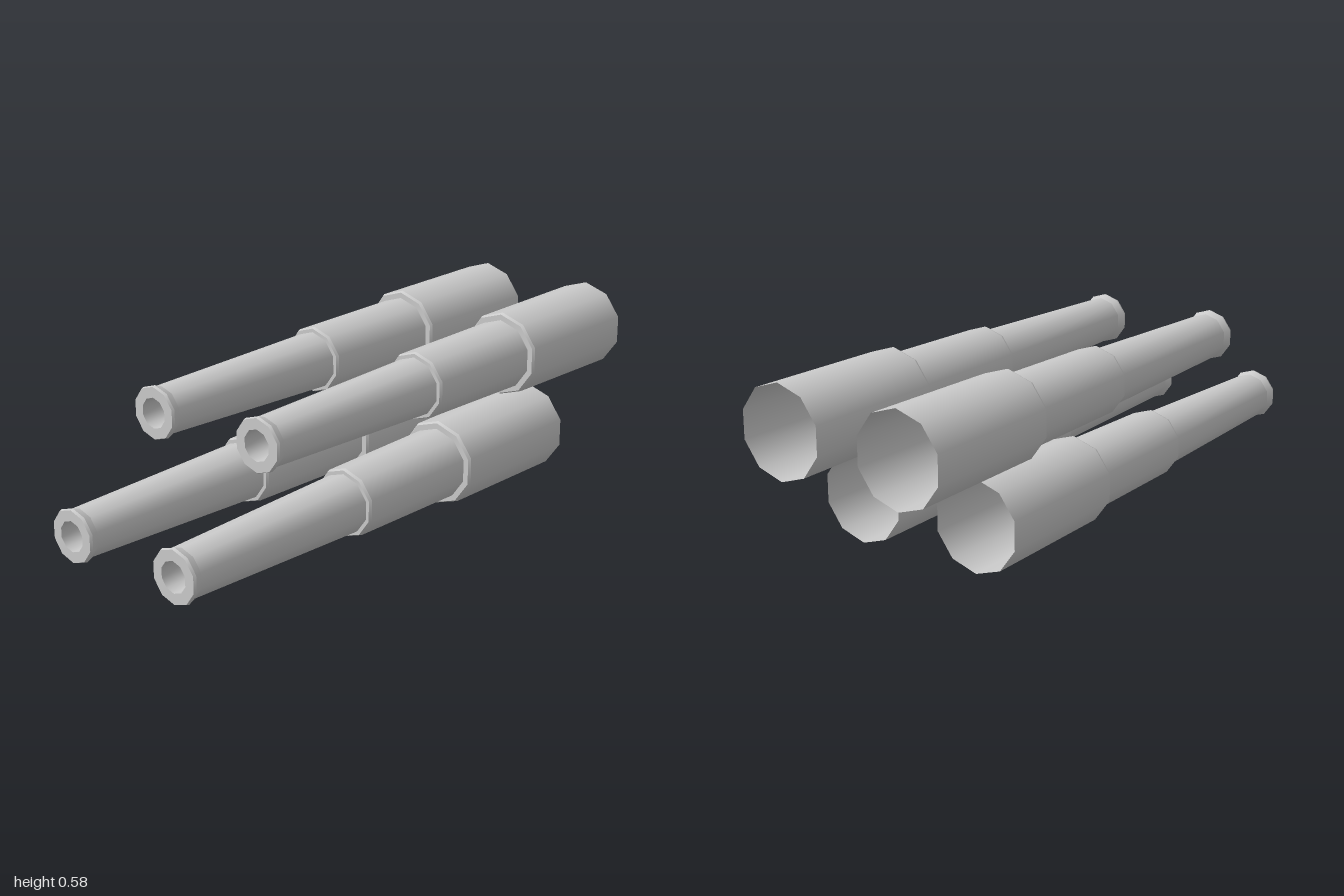
import * as THREE from 'three';

const material = new THREE.MeshStandardMaterial({ color: 0xcccccc, side: THREE.DoubleSide });
const SIDES = 10;

// Each part is a list of profile strips [radius, z]; edges between strips stay sharp.
const PARTS = {
  rearSleeve: [
    [[0.146, -1], [0.141, -0.505]],
    [[0.141, -0.505], [0.136, -0.495]],
    [[0.136, -0.495], [0.117, -0.495]],
  ],
  middleSleeve: [
    [[0.117, -0.495], [0.111, -0.05]],
    [[0.111, -0.05], [0.107, -0.04]],
    [[0.107, -0.04], [0.095, -0.04]],
  ],
  frontTube: [
    [[0.095, -0.04], [0.077, 0.63]],
  ],
  muzzle: [
    [[0.077, 0.63], [0.086, 0.656]],
    [[0.086, 0.656], [0.083, 0.665]],
    [[0.083, 0.665], [0.049, 0.665]],
  ],
  bore: [
    [[0.049, 0.665], [0.049, 0.5], [0, 0.5]],
  ],
};

// Ten-sided turned strip along z, with corners at top and bottom
function strip(profile) {
  const points = profile.map(([r, z]) => new THREE.Vector2(r, z));
  return new THREE.LatheGeometry(points, SIDES).rotateX(Math.PI / 2);
}

function makeBarrel() {
  const barrel = new THREE.Group();
  for (const [name, strips] of Object.entries(PARTS)) {
    const part = new THREE.Group();
    part.name = name;
    for (const profile of strips) {
      const mesh = new THREE.Mesh(strip(profile), material);
      mesh.name = name + 'Surface';
      part.add(mesh);
    }
    barrel.add(part);
  }
  return barrel;
}

export function createModel() {
  const model = new THREE.Group();
  model.name = 'quadGunBarrels';

  // Upper pair sits back, lower pair is pushed forward
  for (const [side, x] of [['left', 0.213], ['right', -0.213]]) {
    for (const [row, y, z] of [['Upper', 0.436, 0], ['Lower', 0.146, 0.335]]) {
      const barrel = makeBarrel();
      barrel.name = side + row + 'Barrel';
      barrel.position.set(x, y, z);
      model.add(barrel);
    }
  }
  return model;
}
